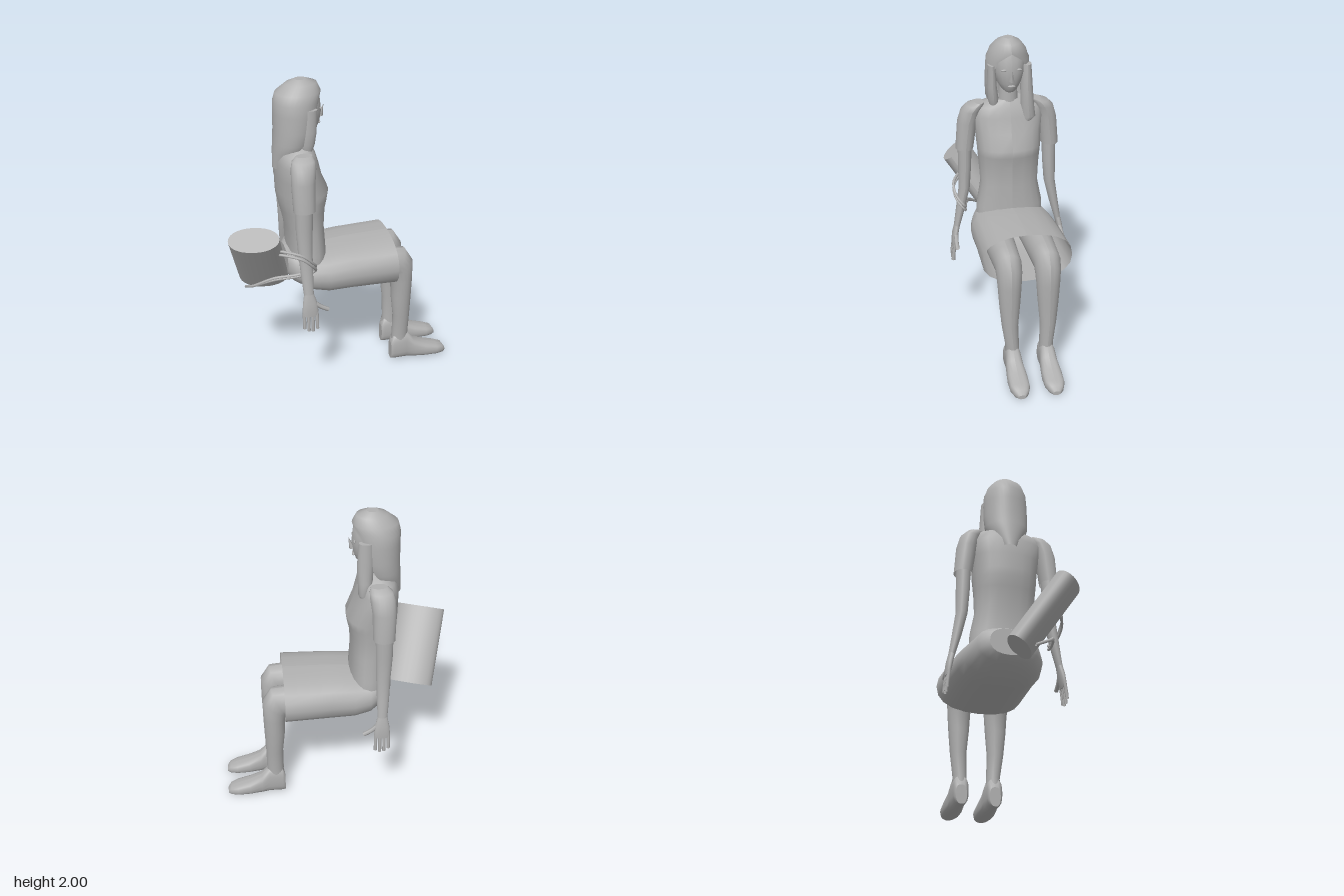
import * as THREE from 'three';

const V = (x, y, z) => new THREE.Vector3(x, y, z);
const grey = new THREE.MeshStandardMaterial({ color: 0xb0b0b0, side: THREE.DoubleSide });
grey.name = 'plain grey';

// Closed or open cross-section around centre c, spanned by half-axes u and v
function ring(c, u, v, p = 1, gap = 0, n = 20) {
  const pts = [];
  const bend = (t) => Math.sign(t) * Math.abs(t) ** p;
  for (let i = 0; i <= n; i++) {
    const a = gap + (i / n) * (2 * Math.PI - 2 * gap);
    pts.push(c.clone().addScaledVector(u, bend(Math.cos(a))).addScaledVector(v, bend(Math.sin(a))));
  }
  return pts;
}
// Horizontal section: [y, centre x, centre z, half depth x, half width z]
const flat = (p) => ([y, x, z, rx, rz]) => ring(V(x, y, z), V(rx, 0, 0), V(0, 0, rz), p);
// Upright section: [x, bottom y, top y, centre z, half width z]
const upright = (p) => ([x, y0, y1, z, rz]) =>
  ring(V(x, (y0 + y1) / 2, z), V(0, (y1 - y0) / 2, 0), V(0, 0, rz), p);

// Skin over a row of sections, with optional end caps
function loft(rings, capStart = true, capEnd = true) {
  const pos = [], idx = [], m = rings[0].length;
  rings.forEach((r) => r.forEach((q) => pos.push(q.x, q.y, q.z)));
  for (let i = 0; i < rings.length - 1; i++) {
    for (let j = 0; j < m - 1; j++) {
      const a = i * m + j, b = a + m;
      idx.push(a, b, a + 1, b, b + 1, a + 1);
    }
  }
  const cap = (r, flip) => {
    const start = pos.length / 3;
    const mid = r.reduce((s, q) => s.add(q), V(0, 0, 0)).divideScalar(m);
    [mid, ...r].forEach((q) => pos.push(q.x, q.y, q.z));
    for (let j = 1; j < m; j++) {
      if (flip) idx.push(start, start + j + 1, start + j);
      else idx.push(start, start + j, start + j + 1);
    }
  };
  if (capStart) cap(rings[0], false);
  if (capEnd) cap(rings[rings.length - 1], true);
  const g = new THREE.BufferGeometry();
  g.setAttribute('position', new THREE.Float32BufferAttribute(pos, 3));
  g.setIndex(idx);
  g.computeVertexNormals();
  return g;
}

function add(parent, name, geometry) {
  const mesh = new THREE.Mesh(geometry, grey);
  mesh.name = name;
  parent.add(mesh);
  return mesh;
}
const tube = (pts, r, n = 6) =>
  new THREE.TubeGeometry(new THREE.CatmullRomCurve3(pts.map((q) => V(...q))), pts.length * 5, r, n);

function makeArm(s) {
  const arm = new THREE.Group();
  arm.name = s > 0 ? 'leftArm' : 'rightArm';
  add(arm, 'sleeve', loft([
    [1.585, -0.24, 0.18, 0.05, 0.03], [1.565, -0.25, 0.205, 0.07, 0.055], [1.53, -0.257, 0.232, 0.076, 0.062],
    [1.45, -0.265, 0.255, 0.073, 0.062], [1.27, -0.265, 0.275, 0.067, 0.056],
  ].map(flat(0.95)), true, false));
  add(arm, 'forearm', loft([
    [1.4, -0.265, 0.27, 0.055, 0.046], [1.15, -0.268, 0.275, 0.052, 0.042], [1, -0.265, 0.28, 0.045, 0.036],
    [0.85, -0.262, 0.308, 0.038, 0.029], [0.71, -0.258, 0.338, 0.03, 0.019],
  ].map(flat(1))));
  add(arm, 'palm', loft([
    [0.73, -0.258, 0.335, 0.03, 0.019], [0.67, -0.255, 0.348, 0.045, 0.02],
    [0.62, -0.255, 0.355, 0.05, 0.017], [0.585, -0.255, 0.36, 0.046, 0.012],
  ].map(flat(0.9))));
  for (let i = 0; i < 4; i++) {
    const x = -0.295 + i * 0.027;
    add(arm, 'finger', tube([[x, 0.61, 0.356], [x, 0.54, 0.365], [x, [0.505, 0.485, 0.48, 0.495][i], 0.368]], 0.0105));
  }
  add(arm, 'thumb', tube([[-0.235, 0.68, 0.345], [-0.19, 0.64, 0.35], [-0.14, 0.612, 0.352]], 0.014));
  arm.scale.z = s;
  return arm;
}

function makeLeg(s, zLeg, zFoot) {
  const leg = new THREE.Group();
  leg.name = s > 0 ? 'leftLeg' : 'rightLeg';
  // Thigh, bent knee and shin: centre x, y, z, section tilt x, y, half width
  add(leg, 'thighAndShin', loft([
    [-0.1, 0.75, zLeg, 0, 0.11, 0.1], [0.3, 0.745, zLeg, 0, 0.105, 0.085], [0.37, 0.74, zLeg, 0.05, 0.1, 0.082],
    [0.395, 0.7, zLeg, 0.08, 0.05, 0.08], [0.405, 0.62, zLeg, 0.07, 0, 0.074], [0.405, 0.5, zLeg, 0.066, 0, 0.066],
    [0.41, 0.35, zLeg, 0.055, 0, 0.052], [0.41, 0.2, zFoot, 0.053, 0, 0.043], [0.405, 0.1, zFoot, 0.055, 0, 0.047],
  ].map(([x, y, z, ux, uy, w]) => ring(V(x, y, z), V(ux, uy, 0), V(0, 0, w)))));
  add(leg, 'shoe', loft([
    [0.347, 0.005, 0.13, zFoot, 0.035], [0.365, 0.004, 0.19, zFoot, 0.05], [0.45, 0.004, 0.2, zFoot, 0.05],
    [0.5, 0.002, 0.14, zFoot, 0.056], [0.58, 0, 0.1, zFoot, 0.064], [0.66, 0, 0.075, zFoot, 0.062],
    [0.705, 0, 0.06, zFoot, 0.045], [0.725, 0.004, 0.03, zFoot, 0.022],
  ].map(upright(0.75))));
  return leg;
}

function makeHead() {
  const head = new THREE.Group();
  head.name = 'head';
  add(head, 'neck', new THREE.CylinderGeometry(0.055, 0.065, 0.22, 16)).position.set(-0.225, 1.63, 0);
  add(head, 'face', loft([
    [1.667, -0.165, 0, 0.025, 0.025], [1.685, -0.195, 0, 0.075, 0.05], [1.73, -0.21, 0, 0.107, 0.078],
    [1.8, -0.215, 0, 0.123, 0.1], [1.88, -0.22, 0, 0.12, 0.105], [1.95, -0.22, 0, 0.09, 0.08],
  ].map(flat(0.95))));
  const nose = add(head, 'nose', new THREE.ConeGeometry(0.018, 0.075, 5));
  nose.position.set(-0.086, 1.79, 0);
  nose.rotation.z = -0.3;
  for (const z of [-0.045, 0.045]) {
    const eye = add(head, 'eye', new THREE.SphereGeometry(1, 12, 8));
    eye.scale.set(0.006, 0.008, 0.021);
    eye.position.set(-0.105, 1.822, z);
  }
  const mouth = add(head, 'mouth', new THREE.SphereGeometry(1, 12, 8));
  mouth.scale.set(0.009, 0.009, 0.025);
  mouth.position.set(-0.105, 1.717, 0);

  // Hair shell: y, centre x, half depth, half width, half angle of the face opening
  add(head, 'hair', loft([
    [2, -0.215, 0.035, 0.03, 0], [1.975, -0.212, 0.095, 0.075, 0], [1.925, -0.232, 0.138, 0.112, 0],
    [1.87, -0.242, 0.142, 0.133, 0.6], [1.8, -0.246, 0.139, 0.138, 0.85], [1.7, -0.255, 0.13, 0.139, 1],
    [1.62, -0.27, 0.118, 0.135, 1.2], [1.56, -0.285, 0.108, 0.115, 1.5], [1.45, -0.31, 0.085, 0.06, 1.8],
  ].map(([y, x, rx, rz, gap]) => ring(V(x, y, 0), V(rx, 0, 0), V(0, 0, rz), 1, gap, 28)), true, false));
  // Locks hanging in front of the shoulders
  add(head, 'rightLock', loft([
    [1.84, -0.17, -0.105, 0.045, 0.03], [1.7, -0.165, -0.105, 0.05, 0.038], [1.58, -0.165, -0.11, 0.045, 0.042],
    [1.5, -0.155, -0.118, 0.032, 0.042], [1.465, -0.15, -0.1, 0.015, 0.026],
  ].map(flat(1))));
  add(head, 'leftLock', loft([
    [1.84, -0.18, 0.11, 0.04, 0.024], [1.7, -0.19, 0.108, 0.045, 0.03], [1.62, -0.2, 0.1, 0.045, 0.034],
    [1.575, -0.2, 0.095, 0.03, 0.027],
  ].map(flat(1))));
  return head;
}

function makeBag() {
  const bag = new THREE.Group();
  bag.name = 'shoulderBag';
  const wide = V(0.147, 0.008, 0.045), thick = V(0.018, 0.046, -0.068);
  add(bag, 'bagBody', loft([V(-0.58, 1.125, 0.29), V(-0.472, 0.722, 0.02)].map((c) => ring(c, wide, thick, 0.95, 0, 28))));
  for (const d of [0, 0.025]) {
    add(bag, 'strap', tube([
      [-0.45, 1.0 + d, 0.27], [-0.4, 1.0 + d, 0.3], [-0.3, 0.98 + d, 0.345], [-0.235, 0.92 + d, 0.335], [-0.205, 0.86 + d, 0.29],
      [-0.3, 0.825 + d / 2, 0.27], [-0.45, 0.8 + d / 2, 0.235], [-0.57, 0.74, 0.17], [-0.6, 0.69, 0.08],
    ], 0.009));
  }
  return bag;
}

export function createModel() {
  const model = new THREE.Group();
  model.name = 'seatedWoman';

  add(model, 'shirt', loft([
    [0.8, -0.2, 0, 0.12, 0.215], [0.9, -0.2, 0, 0.118, 0.212], [1.05, -0.208, 0, 0.118, 0.184],
    [1.18, -0.22, 0, 0.137, 0.192], [1.25, -0.22, 0, 0.153, 0.198], [1.3, -0.218, 0, 0.158, 0.202],
    [1.4, -0.24, 0, 0.138, 0.21], [1.5, -0.252, 0, 0.125, 0.222], [1.56, -0.25, 0, 0.105, 0.195],
    [1.605, -0.24, 0, 0.07, 0.09],
  ].map(flat(0.85))));

  // Skirt, open at the hem
  add(model, 'skirt', loft([
    [-0.335, 0.73, 0.9, 0, 0.12], [-0.3, 0.69, 0.92, 0, 0.19], [-0.2, 0.635, 0.89, 0, 0.25],
    [-0.1, 0.612, 0.9, 0, 0.268], [0.05, 0.61, 0.915, -0.005, 0.272], [0.34, 0.605, 0.922, -0.008, 0.282],
  ].map(upright(0.85)), true, false));

  model.add(makeArm(1), makeArm(-1));
  model.add(makeLeg(1, 0.117, 0.103), makeLeg(-1, -0.125, -0.115));
  model.add(makeHead(), makeBag());
  return model;
}
